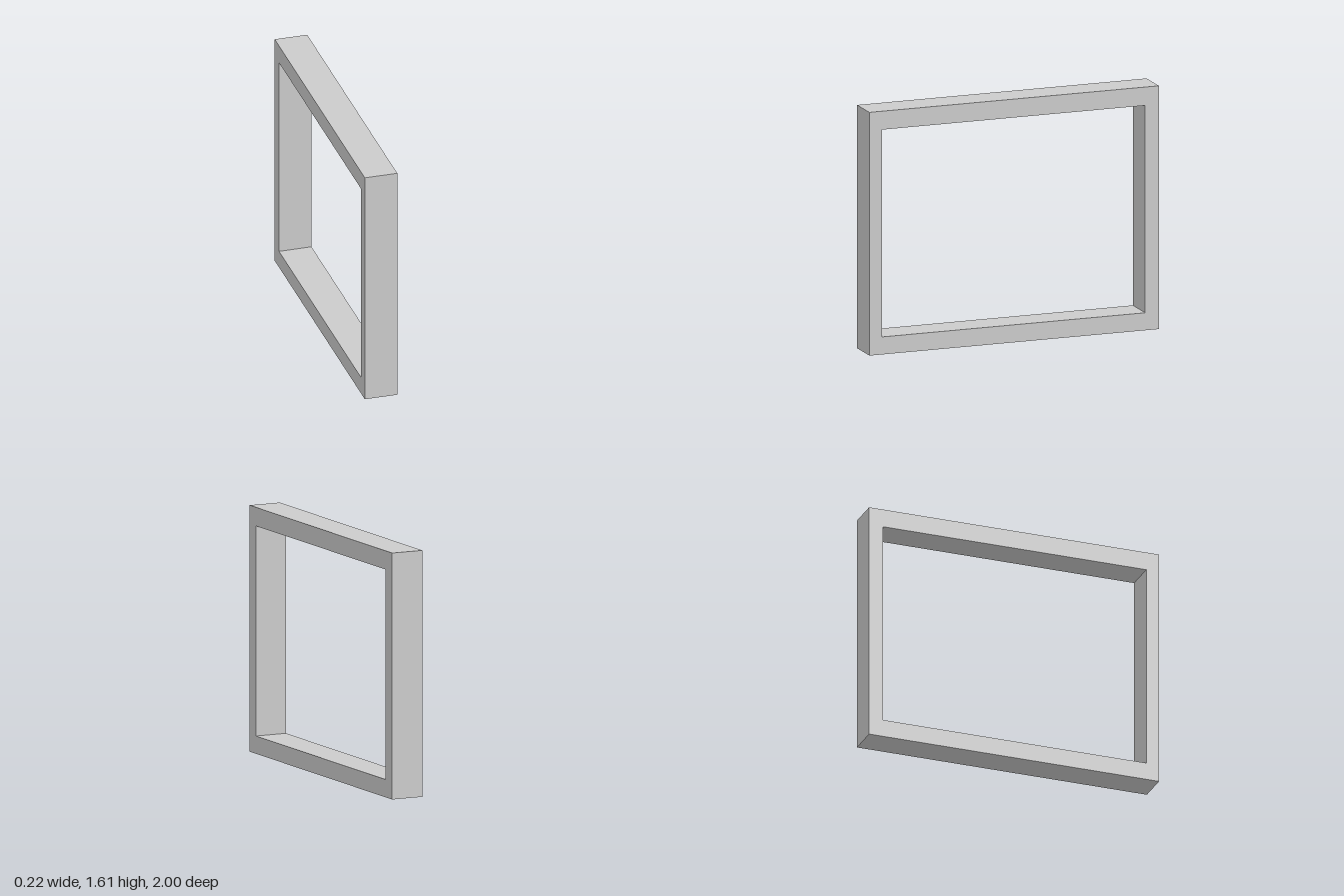
import * as THREE from 'three';

const WIDTH = 0.218, HEIGHT = 1.61;

// Rectangle outline in the side plane: horizontal axis is z, vertical is y
function rectangle(Type, z0, z1, y0, y1) {
  const path = new Type();
  path.moveTo(z0, y0);
  path.lineTo(z1, y0);
  path.lineTo(z1, y1);
  path.lineTo(z0, y1);
  path.closePath();
  return path;
}

export function createModel() {
  const group = new THREE.Group();
  group.name = 'rectangularFrame';

  // Frame outline with its window opening
  const outline = rectangle(THREE.Shape, -1, 1, 0, HEIGHT);
  outline.holes.push(rectangle(THREE.Path, -0.905, 0.912, 0.116, 1.488));

  // Extrude across the width, then turn the outline to face sideways
  const geometry = new THREE.ExtrudeGeometry(outline, { depth: WIDTH, bevelEnabled: false });
  geometry.translate(0, 0, -WIDTH / 2);
  geometry.rotateY(-Math.PI / 2);

  const frame = new THREE.Mesh(
    geometry,
    new THREE.MeshStandardMaterial({ color: 0xcccccc, flatShading: true })
  );
  frame.name = 'frame';
  group.add(frame);
  return group;
}
